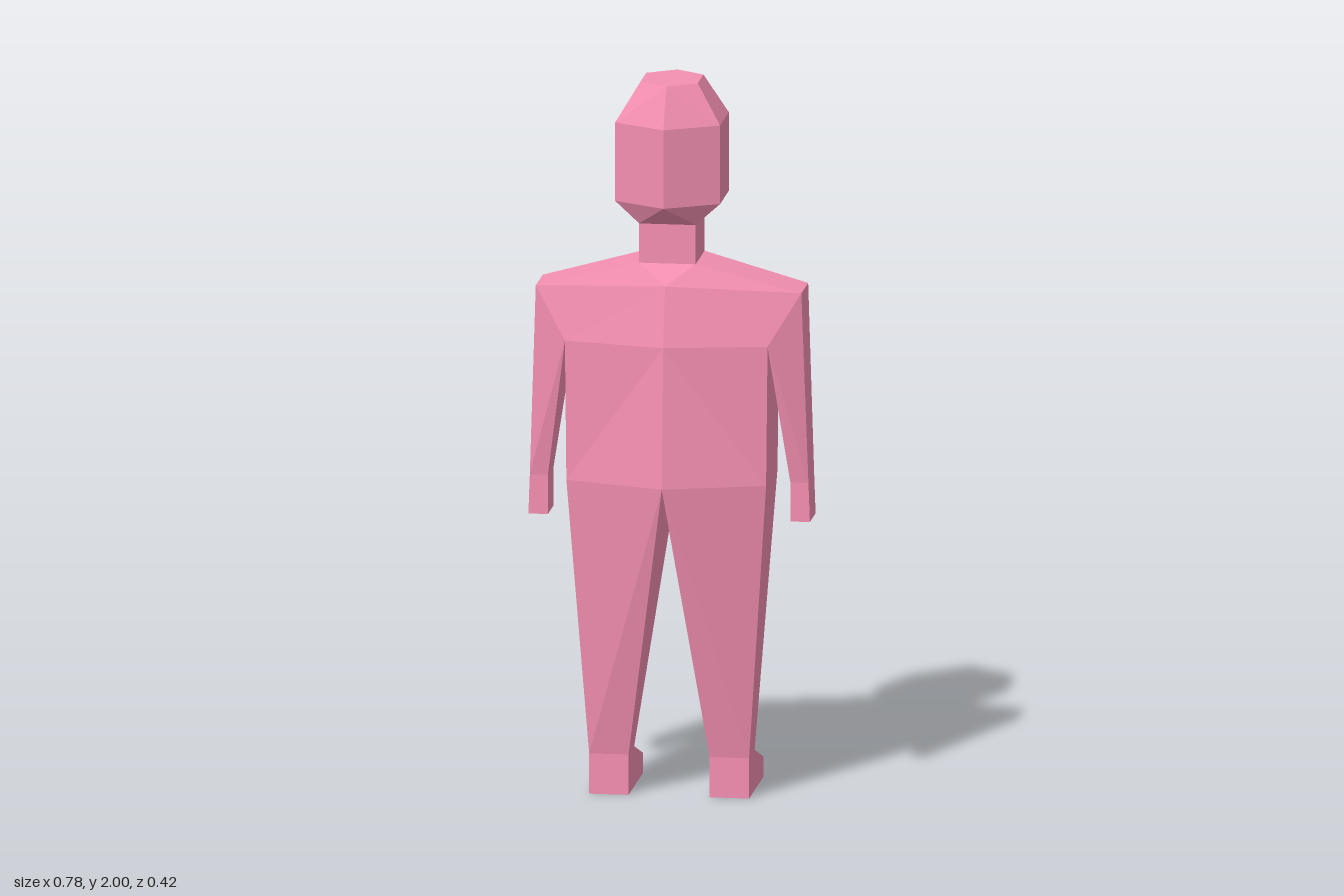
import * as THREE from 'three';
import { mergeGeometries } from 'three/addons/utils/BufferGeometryUtils.js';

// Joins four-point rings [+z inner, +z outer, -z outer, -z inner], listed from
// the top down, for one side of the body (side = 1 or -1).
// closed: also join the inner edge; top / bottom: cap the ends;
// creases: strips (by row) whose diagonals run the other way.
function loft(rings, side, { closed = false, top = false, bottom = false, flipRows = [] } = {}) {
  const out = [];
  const tri = (a, b, c) => {
    for (const p of side > 0 ? [a, b, c] : [a, c, b]) out.push(p[0] * side, p[1], p[2]);
  };
  for (let r = 0; r < rings.length - 1; r++) {
    for (let i = 0; i < (closed ? 4 : 3); i++) {
      const j = (i + 1) % 4;
      const a = rings[r][i], b = rings[r + 1][i], c = rings[r + 1][j], d = rings[r][j];
      if ((i === 2) !== flipRows.includes(r)) { tri(a, b, d); tri(b, c, d); }
      else { tri(a, b, c); tri(a, c, d); }
    }
  }
  if (top) { const [a, b, c, d] = rings[0]; tri(a, b, c); tri(a, c, d); }
  if (bottom) { const [a, b, c, d] = rings[rings.length - 1]; tri(a, c, b); tri(a, d, c); }
  const geo = new THREE.BufferGeometry();
  geo.setAttribute('position', new THREE.Float32BufferAttribute(out, 3));
  geo.computeVertexNormals();
  return geo;
}

// Half of a level cross-section: centre points at x = 0, side points at x
const half = (y, x, zFront, zSideFront, zSideBack, zBack) =>
  [[0, y, zFront], [x, y, zSideFront], [x, y, zSideBack], [0, y, zBack]];

// Level rectangle
const rect = (y, x0, x1, z0, z1) => [[x0, y, z0], [x1, y, z0], [x1, y, z1], [x0, y, z1]];

export function createModel() {
  const group = new THREE.Group();
  const material = new THREE.MeshStandardMaterial({ color: 0xf48fb1, flatShading: true });
  const add = (name, geometry) => {
    const mesh = new THREE.Mesh(geometry, material);
    mesh.name = name;
    group.add(mesh);
  };
  const both = (rings, options) => mergeGeometries([1, -1].map((s) => loft(rings, s, options)));

  // Six-sided head, tapering to the square neck
  const chin = half(1.61, 0.078, 0.1, 0.1, -0.075, -0.075);
  const collar = half(1.5, 0.078, 0.1, 0.1, -0.075, -0.075);
  add('head', both([
    half(2, 0.079, 0.122, 0.065, -0.046, -0.1),
    half(1.89, 0.145, 0.178, 0.095, -0.076, -0.208),
    half(1.67, 0.145, 0.178, 0.095, -0.076, -0.208),
    chin,
  ], { top: true }));
  add('neck', both([chin, collar]));

  // Torso from collar to hips
  const shoulders = [[0, 1.445, 0.145], [0.367, 1.423, 0.077], [0.367, 1.423, -0.056], [0, 1.425, -0.175]];
  const chest = [[0, 1.28, 0.18], [0.28, 1.28, 0.122], [0.28, 1.28, -0.1], [0, 1.32, -0.21]];
  const hips = half(0.89, 0.276, 0.21, 0.122, -0.1, -0.15);
  add('torso', both([collar, shoulders, chest, hips], { flipRows: [0] }));

  for (const [label, side] of [['left', 1], ['right', -1]]) {
    // Arm hangs from the edge between shoulder and armpit
    add(label + 'Arm', loft([
      [chest[1], shoulders[1], shoulders[2], chest[2]],
      rect(0.89, 0.335, 0.385, 0.066, -0.046),
      rect(0.78, 0.335, 0.389, 0.066, -0.046),
    ], side, { closed: true, bottom: true }));

    // Leg narrows to the ankle, then the foot runs out to the toe
    const toe = rect(0.058, 0.112, 0.221, 0.066, -0.21);
    add(label + 'Leg', loft([hips, rect(0.113, 0.112, 0.221, 0.066, -0.042)], side, { closed: true }));
    add(label + 'Foot', loft([
      rect(0.113, 0.112, 0.221, 0.066, -0.042),
      toe,
      toe.map(([x, , z]) => [x, 0, z]),
    ], side, { closed: true, bottom: true }));
  }
  return group;
}
